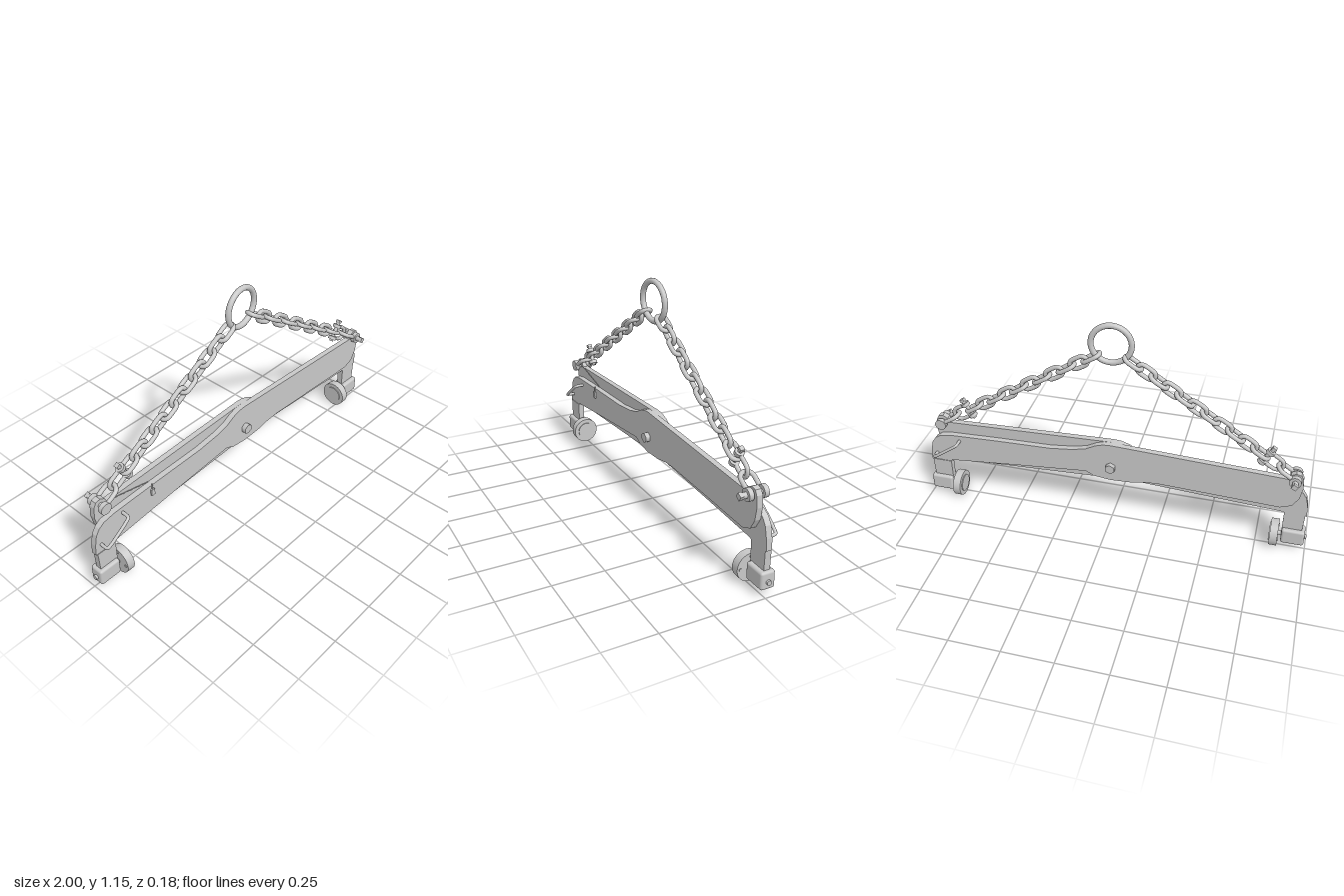
import * as THREE from 'three';
import { RoundedBoxGeometry } from 'three/addons/geometries/RoundedBoxGeometry.js';

const steel = new THREE.MeshStandardMaterial({ color: 0xc8c8c8 });
steel.name = 'light grey steel';
const v = (x, y, z = 0) => new THREE.Vector3(x, y, z);

function add(parent, name, geometry, x = 0, y = 0, z = 0) {
  const mesh = new THREE.Mesh(geometry, steel);
  mesh.name = name;
  mesh.position.set(x, y, z);
  parent.add(mesh);
  return mesh;
}

// Cylinder lying along the given axis
function rod(parent, name, axis, r, length, x, y, z, sides = 24) {
  const geo = new THREE.CylinderGeometry(r, r, length, sides);
  if (axis === 'x') geo.rotateZ(Math.PI / 2);
  if (axis === 'z') geo.rotateX(Math.PI / 2);
  return add(parent, name, geo, x, y, z);
}

// Flat plate cut from an outline, back face at z
function plate(parent, name, pts, z, depth, hole) {
  const shape = new THREE.Shape(pts.map(p => new THREE.Vector2(...p)));
  if (hole) shape.holes.push(new THREE.Path().absarc(hole[0], hole[1], hole[2], 0, Math.PI * 2, true));
  const geo = new THREE.ExtrudeGeometry(shape, { depth, bevelEnabled: false, curveSegments: 16 });
  return add(parent, name, geo, 0, 0, z);
}

// Oval chain link in the xy plane, long along x; pitch is its inner length
function linkGeometry(pitch, width, r) {
  const bend = width / 2 - r, half = pitch / 2 + r - bend;
  const pts = [];
  for (let i = 0; i < 16; i++) {
    const a = -Math.PI / 2 + (i % 8) / 7 * Math.PI + (i >= 8 ? Math.PI : 0);
    pts.push(v((i < 8 ? half : -half) + bend * Math.cos(a), bend * Math.sin(a)));
  }
  return new THREE.TubeGeometry(new THREE.CatmullRomCurve3(pts, true), 40, r, 10, true);
}

// U-shaped bow in the xy plane; open ends at x = 0, curve toward +x
function bowGeometry(length, bend, r) {
  const pts = [v(0, -bend), v((length - bend) / 2, -bend)];
  for (let i = 0; i <= 8; i++) {
    const a = -Math.PI / 2 + i / 8 * Math.PI;
    pts.push(v(length - bend + bend * Math.cos(a), bend * Math.sin(a)));
  }
  pts.push(v((length - bend) / 2, bend), v(0, bend));
  return new THREE.TubeGeometry(new THREE.CatmullRomCurve3(pts), 32, r, 10);
}

const EYE = v(0.905, 0.45, 0.008);

// Lever with its arm on -x and its eye on +x
function makeLever() {
  const g = new THREE.Group();
  g.name = 'lever';
  const top = [
    [-0.875, 0.215], [-0.985, 0.215], [-0.982, 0.27], [-0.97, 0.325], [-0.95, 0.355], [-0.92, 0.375],
    [-0.86, 0.386], [-0.6, 0.397], [-0.32, 0.405], [-0.2, 0.42], [-0.13, 0.437], [-0.08, 0.465],
    [-0.04, 0.478], [0, 0.481], [0.87, 0.447], [0.88, 0.471], [0.905, 0.485], [0.93, 0.478],
    [0.942, 0.455], [0.946, 0.4], [0.935, 0.34], [0.905, 0.29], [0.85, 0.268], [0.25, 0.289],
    [0.18, 0.285], [0.1, 0.27], [0, 0.265]];
  const relief = [[-0.09, 0.275], [-0.13, 0.297], [-0.5, 0.262], [-0.87, 0.224]];
  const hole = [EYE.x, EYE.y, 0.012];
  plate(g, 'leverInnerPlate', [...top, [-0.87, 0.22]].reverse(), 0, 0.012, hole);
  plate(g, 'leverOuterPlate', [...top, ...relief].reverse(), 0.012, 0.017, hole);

  // Down arm, clamp block and gripping pad
  plate(g, 'downArm', [[-0.972, 0.08], [-0.875, 0.08], [-0.875, 0.2155], [-0.978, 0.2155]], 0.001, 0.031);
  add(g, 'clampBlock', new RoundedBoxGeometry(0.115, 0.085, 0.072, 3, 0.012), -0.933, 0.075, 0.015);
  rod(g, 'padShaft', 'x', 0.012, 0.165, -0.918, 0.069, 0.015);
  rod(g, 'padDisc', 'x', 0.068, 0.04, -0.84, 0.069, 0.015, 40);
  rod(g, 'padFace', 'x', 0.046, 0.006, -0.818, 0.069, 0.015, 40);
  for (let i = 0; i < 4; i++) {
    const a = i * Math.PI / 2;
    rod(g, 'padRivet', 'x', 0.007, 0.004, -0.861, 0.069 + 0.052 * Math.sin(a), 0.015 + 0.052 * Math.cos(a), 12);
  }

  // Bent handle standing off the plate
  const a = v(-0.95, 0.26), b = v(-0.815, 0.357);
  const at = (t, z) => a.clone().lerp(b, t).setZ(z);
  const path = [at(0, 0.02), at(0, 0.061), at(0.02, 0.07), at(0.07, 0.073),
    at(0.93, 0.073), at(0.98, 0.07), at(1, 0.061), at(1, 0.02)];
  add(g, 'handle', new THREE.TubeGeometry(new THREE.CatmullRomCurve3(path, false, 'centripetal'), 60, 0.008, 10));

  // Pivot bolt head
  rod(g, 'pivotBolt', 'z', 0.026, 0.03, 0, 0.348, 0.038, 6);
  return g;
}

// Shackles and chain from the lever eye to the lifting ring
function makeChain() {
  const g = new THREE.Group();
  g.name = 'chain';
  const end = v(0.07, 0.974, 0), span = end.clone().sub(EYE);
  g.position.copy(EYE);
  const x = span.clone().normalize(), y = v(0, 0, 1).cross(x).normalize();
  g.quaternion.setFromRotationMatrix(new THREE.Matrix4().makeBasis(x, y, x.clone().cross(y)));

  // Shackle through the eye
  const bow = add(g, 'eyeShackle', bowGeometry(0.105, 0.033, 0.011));
  bow.rotation.x = Math.PI / 2;
  for (const s of [-1, 1]) rod(g, 'shackleBoss', 'z', 0.029, 0.022, 0, 0, s * 0.037);
  rod(g, 'shacklePin', 'z', 0.014, 0.12, 0, 0, 0.012);
  add(g, 'pinTab', new THREE.BoxGeometry(0.026, 0.026, 0.016), 0, 0, 0.076);

  // Coupling shackle turned a quarter
  const start = 0.178;
  const coupling = add(g, 'couplingShackle', bowGeometry(0.095, 0.033, 0.01), start);
  coupling.rotation.z = Math.PI;
  for (const s of [-1, 1]) rod(g, 'couplingBoss', 'y', 0.022, 0.018, start, s * 0.034, 0);
  rod(g, 'couplingPin', 'y', 0.01, 0.115, start, -0.005, 0);
  add(g, 'couplingTab', new THREE.BoxGeometry(0.022, 0.014, 0.022), start, -0.06, 0);

  // Alternating links
  const count = 11, pitch = (span.length() - start) / count;
  const geo = linkGeometry(pitch, 0.072, 0.011);
  for (let i = 0; i < count; i++) {
    const link = add(g, 'chainLink', geo, start + (i + 0.5) * pitch);
    link.rotation.x = i % 2 ? 0 : Math.PI / 2;
  }
  return g;
}

export function createModel() {
  const model = new THREE.Group();
  model.name = 'liftingClamp';

  // Two identical halves, turned half a revolution about the pivot
  for (const turn of [0, Math.PI]) {
    const half = new THREE.Group();
    half.name = turn ? 'backHalf' : 'frontHalf';
    half.add(makeLever(), makeChain());
    half.rotation.y = turn;
    half.position.z = -0.003;
    model.add(half);
  }

  // Lifting ring
  const ring = add(model, 'liftingRing', new THREE.TorusGeometry(0.096, 0.014, 14, 56), 0.005, 1.038, -0.003);
  ring.rotation.y = 0.08;

  // Small latch hanging on a thin cord
  const cord = new THREE.LineCurve3(v(-0.87, 0.452, 0), v(-0.635, 0.4, 0));
  add(model, 'latchCord', new THREE.TubeGeometry(cord, 2, 0.002, 6));
  rod(model, 'latchStem', 'y', 0.003, 0.04, -0.635, 0.388, 0.029, 8);
  add(model, 'latchBody', new THREE.BoxGeometry(0.02, 0.034, 0.009), -0.635, 0.358, 0.031);
  return model;
}
